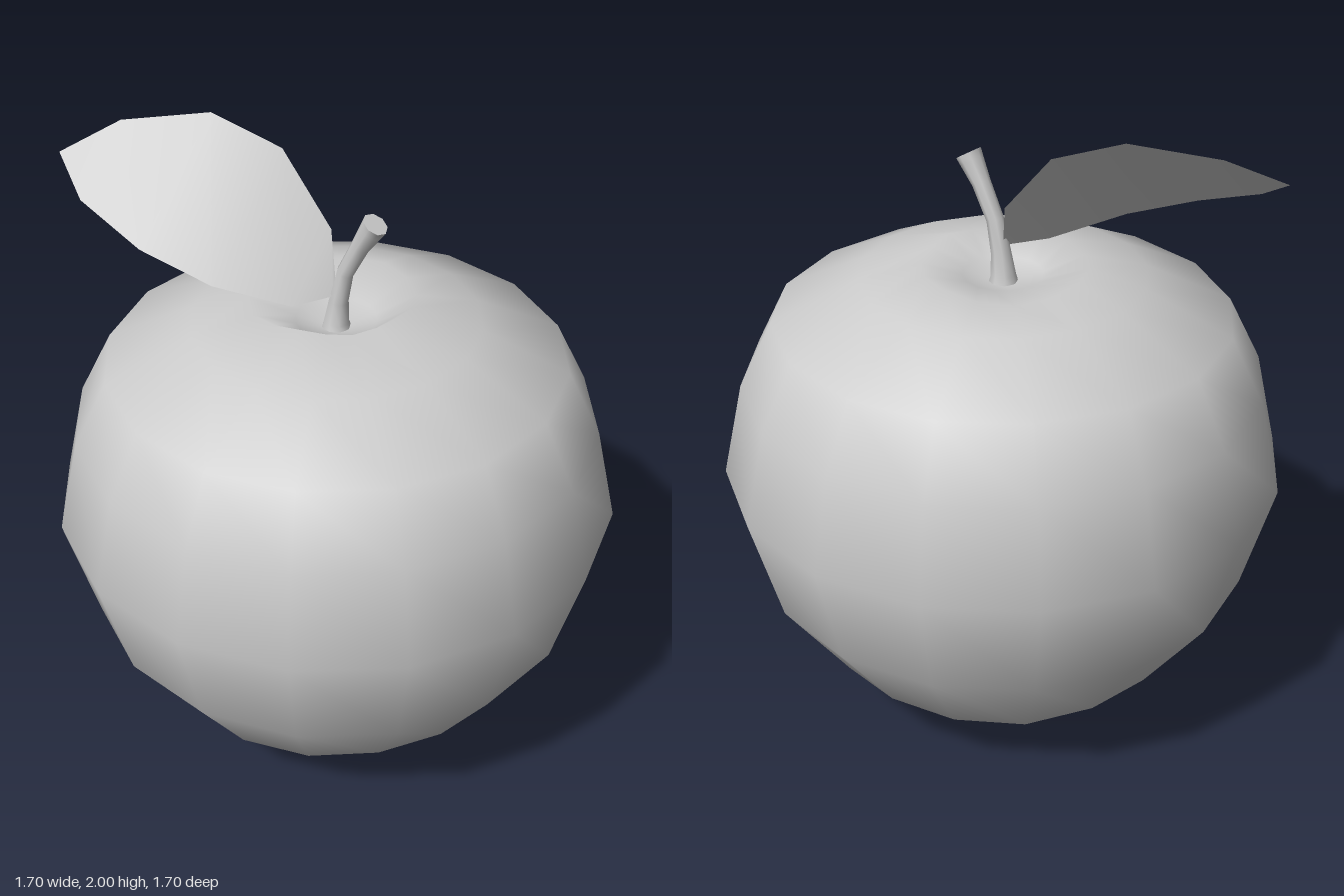
import * as THREE from 'three';
import { mergeVertices, toCreasedNormals } from 'three/addons/utils/BufferGeometryUtils.js';

const material = new THREE.MeshStandardMaterial({ color: 0xcccccc });
const leafMaterial = new THREE.MeshStandardMaterial({ color: 0xcccccc, side: THREE.DoubleSide });

function addMesh(group, name, geometry, mat = material) {
  const mesh = new THREE.Mesh(geometry, mat);
  mesh.name = name;
  group.add(mesh);
}

// Turned shape with one shared vertex per corner, so it can be bent by a rule
function weldedLathe(profile, sides) {
  const g = new THREE.LatheGeometry(profile.map(p => new THREE.Vector2(...p)), sides);
  g.deleteAttribute('uv');
  g.deleteAttribute('normal');
  return mergeVertices(g, 1e-4);
}

// Fruit body: 16-sided, with a slightly uneven rim and faint lobes underneath
function bodyGeometry() {
  const g = weldedLathe([
    [0, 0.08], [0.09, 0.05], [0.2, 0.012], [0.37, 0.105], [0.55, 0.245], [0.755, 0.52],
    [0.852, 0.86], [0.788, 1.15], [0.688, 1.352], [0.43, 1.477], [0.24, 1.528],
    [0.12, 1.475], [0, 1.44],
  ], 16);
  const pos = g.attributes.position;
  for (let i = 0; i < pos.count; i++) {
    let x = pos.getX(i), y = pos.getY(i), z = pos.getZ(i);
    const r = Math.hypot(x, z), angle = Math.atan2(z, x);
    if (y > 1.5) {
      const tilt = (x + z) / r;
      y += 0.009 * tilt + 0.008 * Math.cos(4 * angle);
      const s = 1 - 0.15 * tilt;
      x *= s;
      z *= s;
    } else if (y < 0.3 && r > 0.15) {
      y += 0.011 * (1 + Math.cos(5 * angle + 2)) * (r < 0.3 ? 1 : 0.5) - 0.008;
    }
    pos.setXYZ(i, x, Math.max(0, y), z);
  }
  g.computeVertexNormals();
  return g;
}

// Stem: each ring is moved to its place on a leaning path (x, y, radius, lean)
function stemGeometry() {
  const rings = [
    [0, 1.43, 0.05, 0], [0, 1.47, 0.038, 0.1], [0.008, 1.54, 0.03, 0.17],
    [0.03, 1.64, 0.026, 0.35], [0.08, 1.74, 0.028, 0.5], [0.115, 1.8, 0.036, 0.54],
    [0.127, 1.821, 0.039, 0.54],
  ];
  const profile = rings.map(([, , r], i) => [r, i]);
  profile.push([0, rings.length - 1]);
  const g = weldedLathe(profile, 8);
  const pos = g.attributes.position;
  for (let i = 0; i < pos.count; i++) {
    const [cx, cy, , lean] = rings[Math.round(pos.getY(i))];
    const x = pos.getX(i);
    pos.setXYZ(i, cx + x * Math.cos(lean), cy - x * Math.sin(lean), pos.getZ(i));
  }
  return toCreasedNormals(g, 0.9);
}

// Leaf: thin blade spanned between its back and front edges, base to tip
function leafGeometry() {
  const back = [[0, 1.57, 0], [-0.06, 1.72, -0.07], [-0.24, 1.92, -0.095],
    [-0.45, 2, -0.045], [-0.68, 1.97, 0.08], [-0.81, 1.89, 0.21]];
  const front = [[0, 1.56, 0.02], [-0.07, 1.56, 0.13], [-0.25, 1.64, 0.265],
    [-0.46, 1.72, 0.315], [-0.68, 1.805, 0.29], [-0.81, 1.89, 0.21]];
  const points = [], index = [];
  back.forEach((b, i) => {
    points.push(...b, ...front[i]);
    if (i < back.length - 1) {
      const k = 2 * i;
      index.push(k, k + 2, k + 1, k + 1, k + 2, k + 3);
    }
  });
  const g = new THREE.BufferGeometry();
  g.setAttribute('position', new THREE.Float32BufferAttribute(points, 3));
  g.setIndex(index);
  g.computeVertexNormals();
  return g;
}

export function createModel() {
  const group = new THREE.Group();
  group.name = 'apple';
  addMesh(group, 'body', bodyGeometry());
  addMesh(group, 'stem', stemGeometry());
  addMesh(group, 'leaf', leafGeometry(), leafMaterial);
  return group;
}
